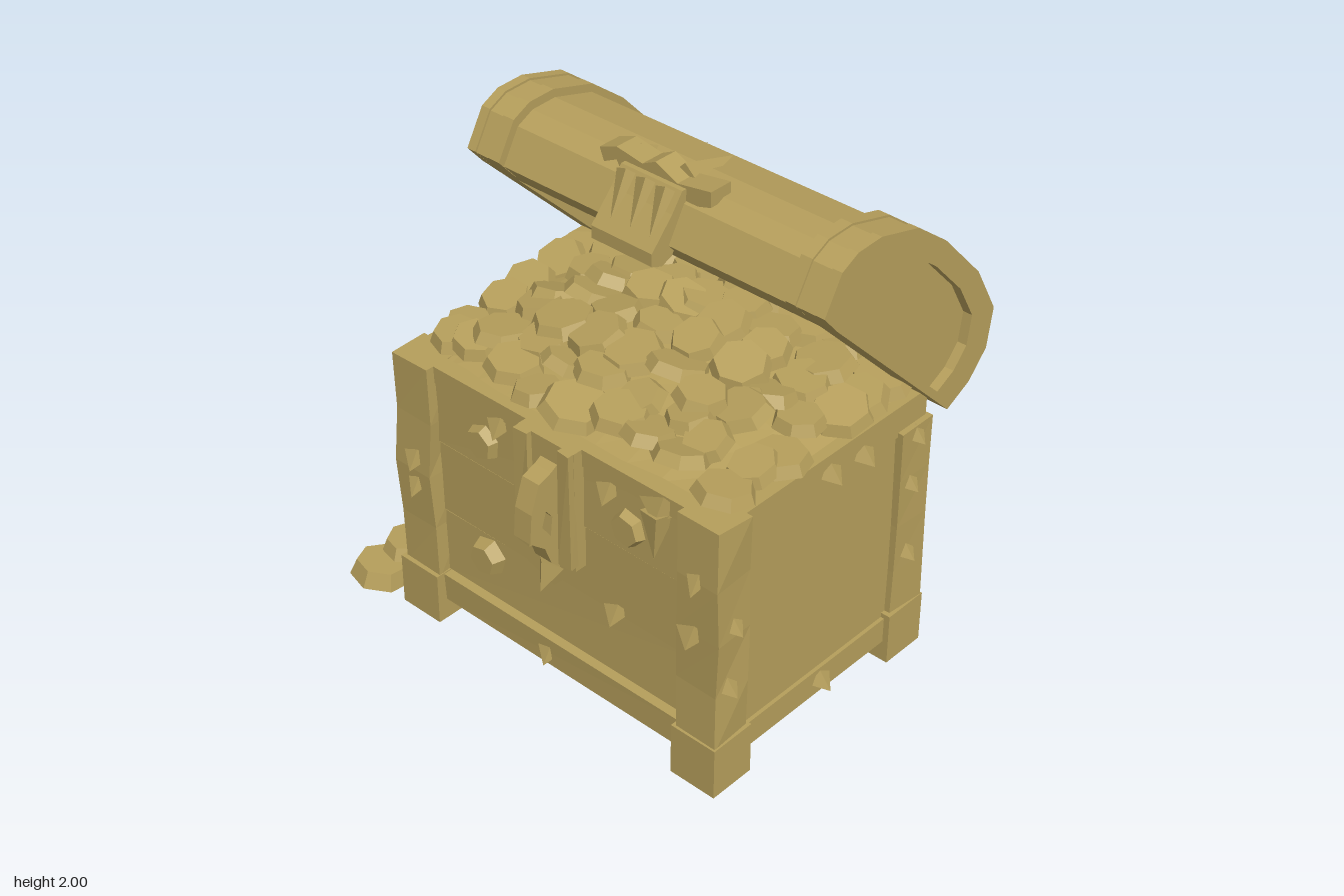
import * as THREE from 'three';

const gold = new THREE.MeshStandardMaterial({ color: 0xb59e5b, flatShading: true });
gold.name = 'old gold';

let seed = 7;
const rnd = () => (seed = (seed * 16807) % 2147483647) / 2147483647;
const spread = (a) => (rnd() * 2 - 1) * a;

export function createModel() {
  const root = new THREE.Group();
  root.name = 'treasureChest';

  const group = (name) => {
    const g = new THREE.Group();
    g.name = name;
    root.add(g);
    return g;
  };
  const add = (parent, name, geometry) => {
    const m = new THREE.Mesh(geometry, gold);
    m.name = name;
    parent.add(m);
    return m;
  };

  // Nudges vertices by a rule of their position, so shared corners stay joined
  const hew = (geo, amount) => {
    const p = geo.attributes.position;
    const wave = (x, y, z, k) => Math.sin(x * 37.1 + y * 61.7 * k + z * 23.3 + k * 5) * amount;
    for (let i = 0; i < p.count; i++) {
      const x = p.getX(i), y = p.getY(i), z = p.getZ(i);
      p.setXYZ(i, x + wave(x, y, z, 1), y, z + wave(x, y, z, 2));
    }
    return geo;
  };

  // Box from its bounds
  const block = (parent, name, x0, x1, y0, y1, z0, z1, rough = 0, rows = 1) => {
    const geo = new THREE.BoxGeometry(x1 - x0, y1 - y0, z1 - z0, 1, rows, 1);
    geo.translate((x0 + x1) / 2, (y0 + y1) / 2, (z0 + z1) / 2);
    return add(parent, name, hew(geo, rough));
  };

  // Side profile given as (z, y), extruded along x
  const toShape = (pts) => new THREE.Shape(pts.map(([z, y]) => new THREE.Vector2(z, y)));
  const sideways = (parent, name, pts, x0, x1, hole) => {
    const shape = toShape(pts);
    if (hole) shape.holes.push(toShape(hole));
    const geo = new THREE.ExtrudeGeometry(shape, { depth: x1 - x0, bevelEnabled: false });
    geo.rotateY(-Math.PI / 2).translate(x1, 0, 0);
    return add(parent, name, geo);
  };

  // Four-sided spike from base to tip
  const spike = (parent, name, base, tip, radius) => {
    const a = new THREE.Vector3(...base), b = new THREE.Vector3(...tip);
    const dir = b.clone().sub(a);
    const m = add(parent, name, new THREE.ConeGeometry(radius, dir.length(), 4));
    m.position.copy(a).add(b).multiplyScalar(0.5);
    m.quaternion.setFromUnitVectors(new THREE.Vector3(0, 1, 0), dir.normalize());
    return m;
  };

  // Chest body: core, rims and planks
  const body = group('chestBody');
  block(body, 'core', -0.65, 0.87, 0.09, 1.1, -0.48, 0.57);
  block(body, 'frontRim', -0.66, 0.88, 1.08, 1.15, 0.53, 0.6);
  block(body, 'backRim', -0.66, 0.88, 1.04, 1.14, -0.49, -0.43);
  block(body, 'rightRim', -0.66, -0.6, 1.02, 1.15, -0.47, 0.58);
  block(body, 'leftRim', 0.82, 0.88, 1.02, 1.15, -0.47, 0.58);
  block(body, 'topPlank', -0.5, 0.73, 0.82, 1.15, 0.55, 0.595, 0.004);
  block(body, 'middlePlank', -0.5, 0.73, 0.505, 0.81, 0.55, 0.59, 0.004);
  block(body, 'lowerPlank', -0.5, 0.73, 0.22, 0.495, 0.55, 0.58, 0.004);
  block(body, 'frontRail', -0.5, 0.73, 0.09, 0.215, 0.55, 0.615, 0.004);
  for (const [x0, x1] of [[-0.665, -0.64], [0.86, 0.885]])
    block(body, 'sideRail', x0, x1, 0.09, 0.2, -0.35, 0.5);

  // Corner posts with wider feet
  const posts = group('cornerPosts');
  for (const [x0, x1] of [[-0.675, -0.495], [0.715, 0.9]]) {
    block(posts, 'frontPost', x0, x1, 0.2, 1.15, 0.475, 0.64, 0.008, 4);
    block(posts, 'frontFoot', x0 - 0.008, x1 + 0.01, 0, 0.22, 0.46, 0.655);
    block(posts, 'backPost', x0, x1, 0.2, 1.04, -0.505, -0.335, 0.008, 4);
    block(posts, 'backFoot', x0 - 0.008, x1 + 0.01, 0, 0.22, -0.515, -0.32);
  }

  // Lock: pointed plate, side strips and a hanging clasp
  const lock = group('lock');
  const plate = new THREE.Shape([[-0.03, 1.15], [-0.03, 0.62], [0.0, 0.56], [0.13, 0.52], [0.24, 0.64], [0.24, 1.15]]
    .map(([x, y]) => new THREE.Vector2(x, y)));
  add(lock, 'lockPlate', new THREE.ExtrudeGeometry(plate, { depth: 0.07, bevelEnabled: false })).position.z = 0.57;
  block(lock, 'lockStrip', -0.03, 0.04, 0.66, 1.15, 0.6, 0.665, 0.004);
  block(lock, 'lockStrip', 0.185, 0.24, 0.66, 1.15, 0.6, 0.665, 0.004);
  sideways(lock, 'clasp',
    [[0.62, 1.08], [0.62, 0.6], [0.68, 0.66], [0.71, 0.74], [0.78, 0.8], [0.77, 0.92], [0.73, 1.03], [0.67, 1.05]],
    0.08, 0.16, [[0.68, 0.78], [0.72, 0.84], [0.7, 0.9], [0.67, 0.86]]);
  spike(lock, 'claspTooth', [0.12, 0.62, 0.64], [0.12, 0.52, 0.7], 0.06);

  // Ring handle on the right side
  const handle = group('ringHandle');
  const ring = add(handle, 'ring', new THREE.TorusGeometry(0.18, 0.03, 4, 9));
  ring.rotation.y = Math.PI / 2;
  ring.scale.set(1, 1.15, 1);
  ring.position.set(-0.665, 0.7, 0.08);
  block(handle, 'crossBar', -0.68, -0.64, 0.68, 0.73, -0.08, 0.24);
  block(handle, 'uprightBar', -0.685, -0.64, 0.54, 0.88, 0.05, 0.11);

  // Open lid, tilted back: arch profile as (z, y)
  const lid = group('lid');
  const arch = [[0.12, 1.71], [0.19, 1.79], [0.11, 1.93], [0.03, 1.97], [-0.09, 1.975], [-0.29, 1.92], [-0.45, 1.8],
    [-0.66, 1.58], [-0.775, 1.38], [-0.75, 1.22], [-0.66, 1.12], [-0.54, 1.06]];
  const scaled = (s, cz = -0.21, cy = 1.385) => arch.map(([z, y]) => [cz + (z - cz) * s, cy + (y - cy) * s]);
  const shell = (outer, inner) => [...scaled(outer), ...scaled(inner).reverse()];
  sideways(lid, 'barrel', shell(0.94, 0.8), -0.6, 0.81);
  const recess = scaled(0.74, -0.27, 1.49);
  sideways(lid, 'rightEndFrame', arch, -0.71, -0.67, recess);
  sideways(lid, 'rightEndWall', scaled(0.985), -0.672, -0.6);
  sideways(lid, 'rightBand', shell(1, 0.8), -0.602, -0.55);
  sideways(lid, 'leftEndFrame', arch, 0.895, 0.935, recess);
  sideways(lid, 'leftEndWall', scaled(0.985), 0.81, 0.897);
  sideways(lid, 'leftBand', shell(1, 0.8), 0.765, 0.812);

  // Latch on the lid lip with a jagged crest and claws running back
  const crest = group('lidLatch');
  sideways(crest, 'latch',
    [[0.15, 1.72], [0.2, 1.7], [0.25, 1.72], [0.25, 1.77], [0.15, 1.88], [0.1, 1.95], [0.0, 1.95], [0.08, 1.83]], -0.04, 0.24);
  const jag = [[-0.16, 1.96], [-0.14, 1.91], [-0.08, 1.94], [-0.04, 1.87], [0.0, 1.92], [0.05, 1.86], [0.1, 1.93],
    [0.16, 1.87], [0.19, 1.93], [0.25, 1.89], [0.35, 1.92], [0.35, 1.98], [0.2, 1.955], [0.1, 2.0], [0.04, 1.97], [-0.08, 1.99]];
  const jagGeo = new THREE.ExtrudeGeometry(new THREE.Shape(jag.map(([x, y]) => new THREE.Vector2(x, y))),
    { depth: 0.1, bevelEnabled: false });
  add(crest, 'crest', jagGeo).position.z = -0.02;
  for (const [x, z, r] of [[-0.14, -0.48, 0.03], [-0.04, -0.46, 0.06], [0.18, -0.24, 0.07], [0.32, -0.46, 0.03]])
    spike(crest, 'claw', [x, 1.93, 0.02], [x - 0.01, z < -0.3 ? 1.75 : 1.92, z], r);
  for (const x of [0.0, 0.09, 0.18])
    spike(crest, 'latchTooth', [x, 1.93, 0.1], [x + 0.02, 1.8, 0.22], 0.05);

  // Heap of treasure
  const treasure = group('treasure');
  const heap = (x, z) => 1.15 + 0.19 * (1 - ((x - 0.08) / 0.85) ** 2) * (1 - ((z + 0.12) / 0.74) ** 2);
  const mound = new THREE.PlaneGeometry(1.46, 1.0, 10, 7).rotateX(-Math.PI / 2).translate(0.11, 0, 0.05);
  const mp = mound.attributes.position;
  for (let i = 0; i < mp.count; i++) mp.setY(i, heap(mp.getX(i), mp.getZ(i)) - 0.03);
  add(treasure, 'mound', mound);
  const coin = (x, y, z, r, tilt, thick = 0.045) => {
    const m = add(treasure, 'coin', new THREE.CylinderGeometry(r * 0.82, r, thick, 7));
    m.position.set(x, y, z);
    m.rotation.set(spread(tilt), rnd() * 6, spread(tilt));
    m.scale.z = 0.85 + rnd() * 0.2;
  };
  for (let i = 0; i < 9; i++)
    for (let j = 0; j < 7; j++) {
      const x = -0.58 + i * 0.168 + spread(0.04), z = -0.36 + j * 0.138 + spread(0.035);
      coin(x, heap(x, z) + 0.005 + spread(0.012), z, 0.1 + rnd() * 0.03, 0.3);
    }

  // Coins fallen beside the chest
  coin(-0.83, 0.05, 0.45, 0.125, 0.08, 0.07);
  coin(-0.83, 0.07, 0.63, 0.125, 0.12, 0.07);
  coin(-0.82, 0.125, 0.5, 0.115, 0.1, 0.05);

  // Chips and nuggets stuck to the walls: position and outward direction
  const chips = group('chips');
  const front = [[-0.17, 1.06, 0.05], [0.36, 1.05, 0.05], [0.6, 1.1, 0.08], [0.05, 0.15, 0.05], [0.39, 0.53, 0.05],
    [-0.58, 0.74, 0.05], [-0.58, 0.62, 0.04], [0.78, 0.68, 0.06], [0.8, 0.92, 0.04]];
  for (const [x, y, r] of front) {
    const z = Math.abs(x - 0.11) > 0.6 ? 0.63 : 0.59;
    spike(chips, 'frontChip', [x, y, z], [x + 0.02, y - 0.04, z + 0.06], r);
  }
  spike(chips, 'frontShard', [0.6, 1.08, 0.61], [0.61, 0.9, 0.64], 0.06);
  for (const [x, y] of [[-0.25, 0.94], [0.46, 0.93], [-0.26, 0.41]]) {
    const m = add(chips, 'flatNugget', new THREE.CylinderGeometry(0.06, 0.08, 0.05, 6));
    m.rotation.set(Math.PI / 2, rnd() * 6, 0);
    m.position.set(x, y, 0.605);
  }
  for (const [y, z] of [[1.08, 0.05], [1.06, -0.13], [0.15, 0.05], [0.48, -0.41], [0.8, -0.4], [1.0, -0.42], [0.72, 0.55], [0.46, 0.57]])
    spike(chips, 'leftChip', [0.88, y, z], [0.945, y - 0.02, z + 0.01], 0.05);
  for (const [y, z] of [[0.98, 0.55], [0.75, 0.56], [0.46, 0.57], [0.32, 0.55], [0.8, -0.42], [0.46, -0.4]])
    spike(chips, 'rightChip', [-0.66, y, z], [-0.735, y, z + 0.01], 0.05);
  spike(chips, 'backChip', [0.8, 0.16, -0.5], [0.8, 0.14, -0.55], 0.05);

  return root;
}
